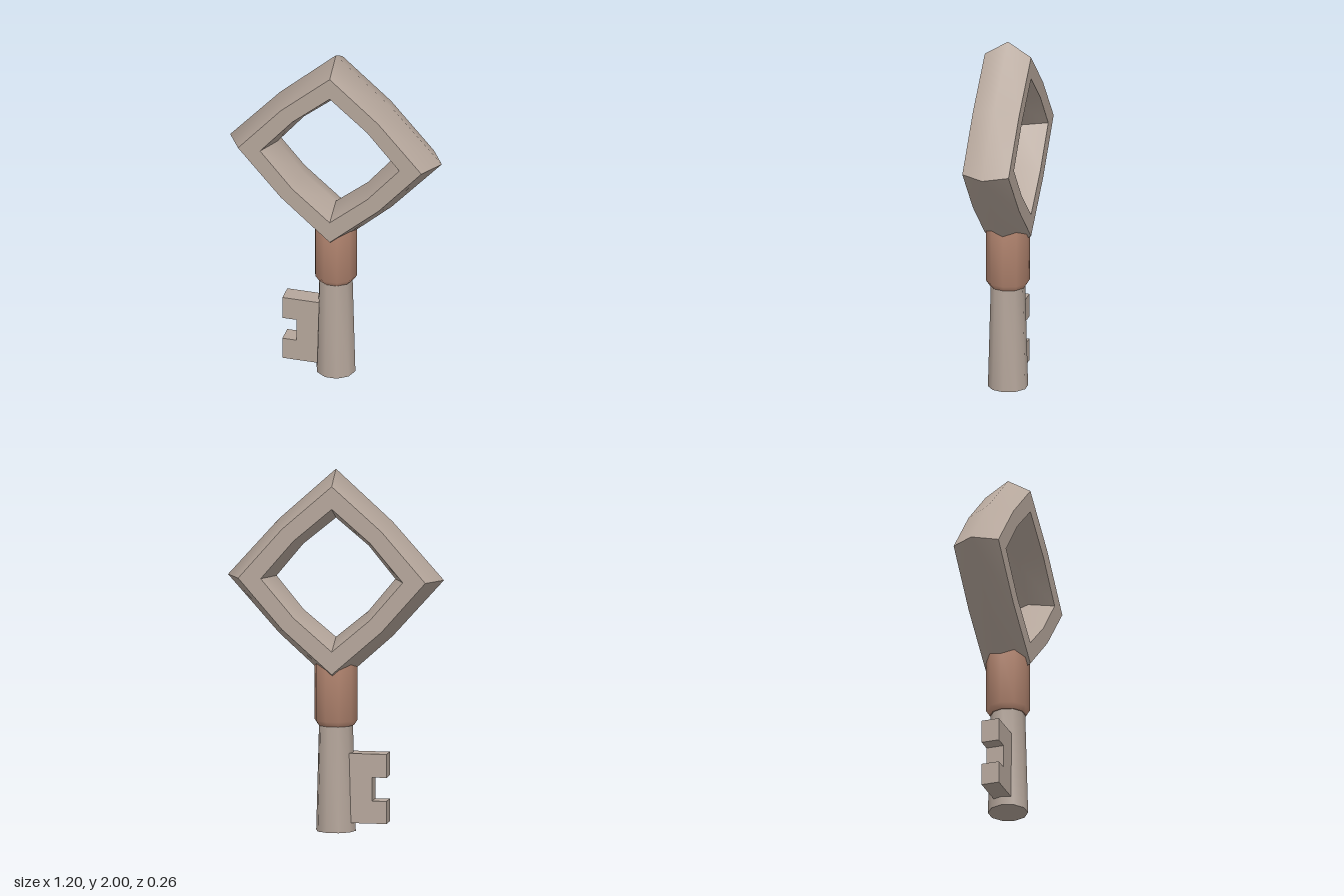
import * as THREE from 'three';
import { toCreasedNormals } from 'three/addons/utils/BufferGeometryUtils.js';

// Bow: a hexagonal section swept round a diamond with slightly bulging sides
function bowGeometry() {
  // [radius at the corners, x and y of the side bends, z]
  const section = [
    [0.6, 0.316, 0], [0.52, 0.277, 0.13], [0.395, 0.213, 0.13],
    [0.33, 0.181, 0], [0.395, 0.213, -0.13], [0.52, 0.277, -0.13],
  ];
  const steps = 8;
  const point = (j, i) => {
    const [corner, bend, z] = section[i % section.length];
    const angle = (j % steps) * Math.PI / 4;
    const r = j % 2 ? bend * Math.SQRT2 : corner;
    return [r * Math.cos(angle), r * Math.sin(angle), z];
  };
  const positions = [];
  for (let j = 0; j < steps; j++) {
    for (let i = 0; i < section.length; i++) {
      const a = point(j, i), b = point(j + 1, i);
      const c = point(j + 1, i + 1), d = point(j, i + 1);
      positions.push(...a, ...b, ...c, ...a, ...c, ...d);
    }
  }
  const geometry = new THREE.BufferGeometry();
  geometry.setAttribute('position', new THREE.Float32BufferAttribute(positions, 3));
  return toCreasedNormals(geometry, THREE.MathUtils.degToRad(55));
}

// Ten-sided turned part with corners on the x axis
function turned(profile) {
  const points = profile.map(([r, y]) => new THREE.Vector2(r, y));
  const geometry = new THREE.LatheGeometry(points, 10, Math.PI / 2);
  return toCreasedNormals(geometry, THREE.MathUtils.degToRad(50));
}

export function createModel() {
  const metal = new THREE.MeshStandardMaterial({ color: 0xb5a69b });
  metal.name = 'warm grey metal';
  const copper = new THREE.MeshStandardMaterial({ color: 0xb98a74 });
  copper.name = 'copper';

  const key = new THREE.Group();
  key.name = 'key';
  const add = (name, geometry, material) => {
    const mesh = new THREE.Mesh(geometry, material);
    mesh.name = name;
    key.add(mesh);
    return mesh;
  };

  add('bow', bowGeometry(), metal).position.y = 1.4;

  // Collar with a small chamfer at its lower rim
  add('collar', turned([[0, 0.585], [0.1, 0.585], [0.12, 0.615], [0.12, 0.95], [0, 0.95]]), copper);

  // Shaft widening towards the tip
  add('shaft', turned([[0, 0], [0.11, 0], [0.094, 0.6], [0, 0.6]]), metal);

  // Notched bit on the right of the shaft
  const outline = new THREE.Shape([
    [-0.05, 0.05], [-0.05, 0.435], [-0.29, 0.435], [-0.29, 0.305],
    [-0.21, 0.305], [-0.21, 0.175], [-0.29, 0.175], [-0.29, 0.05],
  ].map(([x, y]) => new THREE.Vector2(x, y)));
  const bit = new THREE.ExtrudeGeometry(outline, { depth: 0.1, bevelEnabled: false });
  add('bit', bit, metal).position.z = -0.05;

  return key;
}
